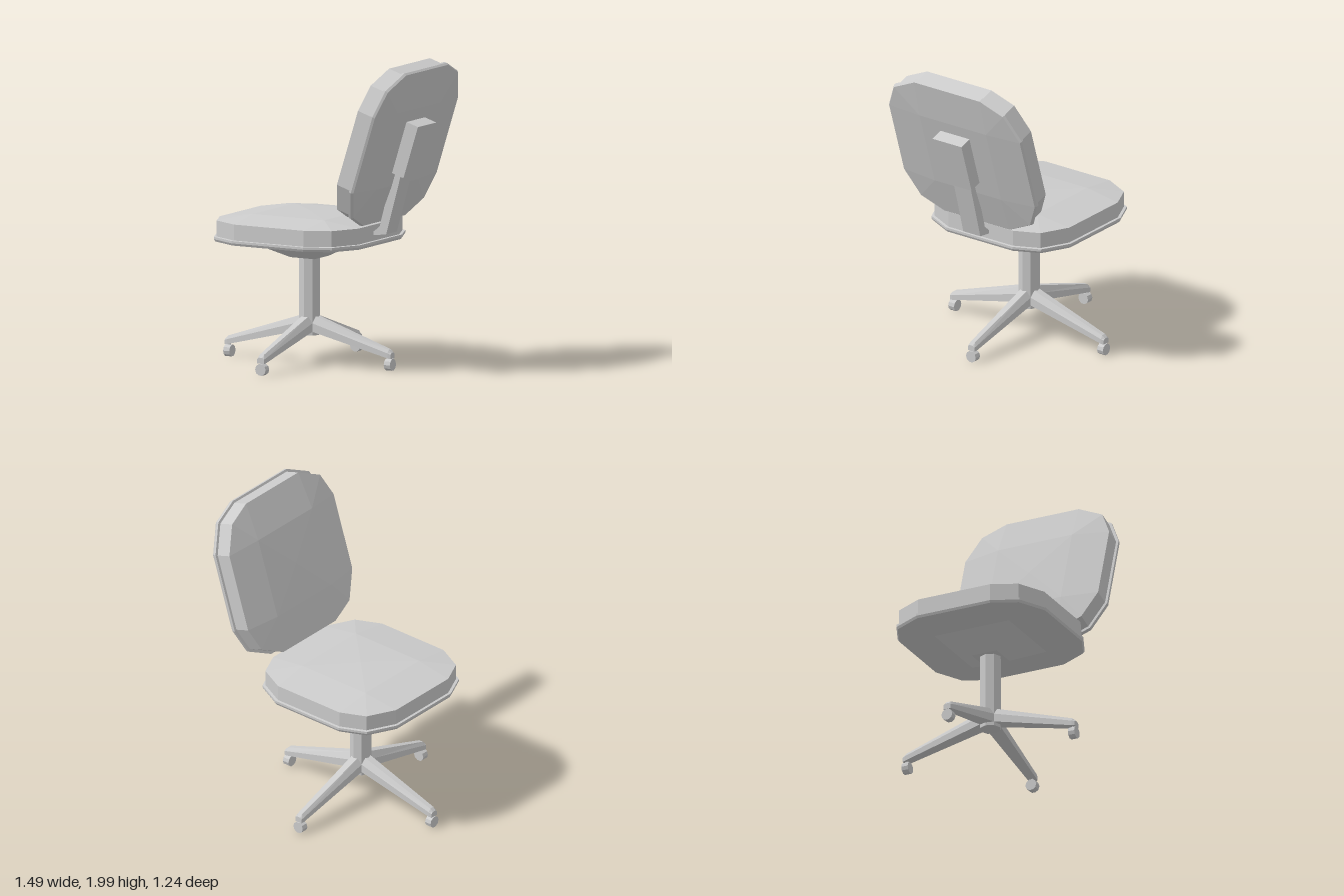
import * as THREE from 'three';

const material = new THREE.MeshStandardMaterial({ color: 0xcccccc, flatShading: true, side: THREE.DoubleSide });
const HUB_X = -0.13;

function part(name, geometry, x = 0, y = 0, z = 0) {
  const mesh = new THREE.Mesh(geometry, material);
  mesh.name = name;
  mesh.position.set(x, y, z);
  return mesh;
}

// Skins a list of closed rings of [x, y, z] points, top ring first
function loft(rings) {
  const pos = [];
  for (let i = 0; i < rings.length - 1; i++) {
    const n = rings[i].length;
    for (let j = 0; j < n; j++) {
      const k = (j + 1) % n;
      const a = rings[i][j], c = rings[i][k], b = rings[i + 1][j], d = rings[i + 1][k];
      pos.push(...a, ...c, ...b, ...c, ...d, ...b);
    }
  }
  const g = new THREE.BufferGeometry();
  g.setAttribute('position', new THREE.Float32BufferAttribute(pos, 3));
  g.computeVertexNormals();
  return g;
}

// Rounded-square outline: one quarter, turned four times
const quarter = [[0.53, 0], [0.53, 0.265], [0.435, 0.453], [0.265, 0.53]];
const outline = [];
for (let q = 0; q < 4; q++) {
  for (const [x, z] of quarter) {
    outline.push([[x, z], [-z, x], [-x, -z], [z, -x]][q]);
  }
}
const ring = (y, scale) => outline.map(([x, z]) => [x * scale, y, z * scale]);
const innerRing = (y, half) => outline.map(([x, z]) => [
  THREE.MathUtils.clamp(x, -half, half), y, THREE.MathUtils.clamp(z, -half, half)]);

// Domed pad with a piped lower rim, rim bottom at y = 0
function cushionGeometry() {
  return loft([
    innerRing(0.18, 0), innerRing(0.17, 0.265),
    ring(0.135, 0.97), ring(0.032, 0.97),
    ring(0.03, 1), ring(0.015, 1), ring(0, 0.985),
    innerRing(-0.018, 0.265), innerRing(-0.018, 0),
  ]);
}

// Tapered, chamfered leg running along +x
function legGeometry() {
  const section = (x, w, top, mid, bottom) => [
    [x, mid, w], [x, top, w * 0.5], [x, top, -w * 0.5],
    [x, mid, -w], [x, bottom, -w], [x, bottom, w]];
  return loft([
    section(0.615, 0, 0.1, 0.1, 0.1),
    section(0.615, 0.026, 0.118, 0.108, 0.08),
    section(0.595, 0.03, 0.137, 0.115, 0.083),
    section(0.05, 0.05, 0.315, 0.27, 0.215),
    section(0, 0.05, 0.33, 0.285, 0.23),
  ]);
}

export function createModel() {
  const chair = new THREE.Group();
  chair.name = 'swivelChair';

  // Seat and its square tapered mount
  chair.add(part('seat', cushionGeometry(), HUB_X, 0.81, 0));
  const mount = new THREE.CylinderGeometry(0.265 * Math.SQRT2, 0.09 * Math.SQRT2, 0.1, 4);
  mount.rotateY(Math.PI / 4);
  chair.add(part('seatMount', mount, HUB_X, 0.742, 0));

  // Column
  chair.add(part('column', new THREE.CylinderGeometry(0.07, 0.07, 0.52, 8), HUB_X, 0.45, 0));

  // Four legs with casters
  for (let i = 0; i < 4; i++) {
    const leg = new THREE.Group();
    leg.name = 'legAssembly';
    leg.position.x = HUB_X;
    leg.rotation.y = i * Math.PI / 2;
    leg.add(part('leg', legGeometry()));
    leg.add(part('casterStem', new THREE.CylinderGeometry(0.012, 0.012, 0.05, 6), 0.595, 0.085, 0));
    const wheel = new THREE.CylinderGeometry(0.039, 0.039, 0.046, 10);
    wheel.rotateZ(Math.PI / 2);
    leg.add(part('casterWheel', wheel, 0.595, 0.04, 0));
    chair.add(leg);
  }

  // Reclined backrest with a mounting block behind it
  const back = new THREE.Group();
  back.name = 'backrest';
  back.position.set(0.583, 1.465, 0);
  back.rotation.z = 1.262;
  back.add(part('backCushion', cushionGeometry()));
  back.add(part('backBlock', new THREE.BoxGeometry(0.355, 0.107, 0.23), 0.008, -0.0535, 0));
  chair.add(back);

  // Bent arm from the seat edge up to the block
  const arm = new THREE.Shape([
    [0.36, 0.875], [0.478, 0.89], [0.595, 1.31], [0.53, 1.31], [0.43, 0.94], [0.39, 0.905], [0.36, 0.9],
  ].map(([x, y]) => new THREE.Vector2(x, y)));
  const armGeometry = new THREE.ExtrudeGeometry(arm, { depth: 0.136, bevelEnabled: false });
  chair.add(part('backSupportArm', armGeometry, 0, 0, -0.068));

  return chair;
}
